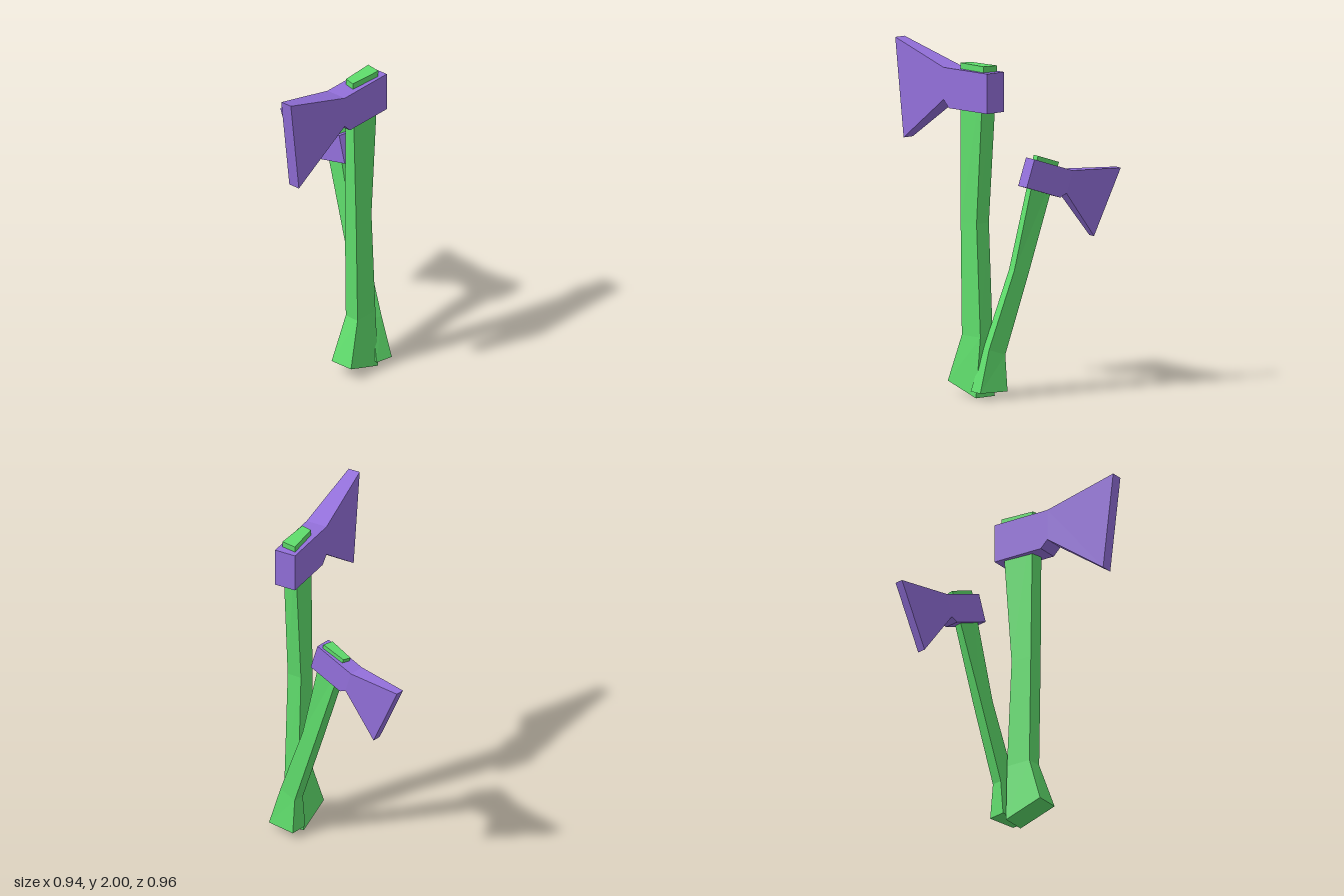
import * as THREE from 'three';

const purple = new THREE.MeshStandardMaterial({ color: 0x9370db });
purple.name = 'purple head';
const green = new THREE.MeshStandardMaterial({ color: 0x5fdd6c });
green.name = 'green handle';

// Flat-shaded loft through four-cornered sections, capped at both ends.
// Corners run counter-clockwise seen from the end of the loft.
function loft(sections) {
  const points = [];
  const quad = (a, b, c, d) => points.push(...a, ...b, ...c, ...a, ...c, ...d);
  for (let s = 0; s < sections.length - 1; s++) {
    const p = sections[s], q = sections[s + 1];
    for (let i = 0; i < 4; i++) {
      const j = (i + 1) % 4;
      quad(p[i], p[j], q[j], q[i]);
    }
  }
  const first = sections[0], last = sections[sections.length - 1];
  quad(first[3], first[2], first[1], first[0]);
  quad(...last);
  const geometry = new THREE.BufferGeometry();
  geometry.setAttribute('position', new THREE.Float32BufferAttribute(points, 3));
  geometry.computeVertexNormals();
  return geometry;
}

// Handle ring: front and back z, y and half width, with a slight twist
function handleRing([zf, yf, wf, zb, yb, wb, twist]) {
  return [
    [-wf, yf, zf - twist], [wf, yf, zf + twist],
    [wb, yb, zb + twist], [-wb, yb, zb - twist],
  ];
}

// Head ring: lower and upper corners sharing one half width
function headRing([zLow, yLow, zHigh, yHigh, w]) {
  return [[-w, yLow, zLow], [w, yLow, zLow], [w, yHigh, zHigh], [-w, yHigh, zHigh]];
}

// One axe standing on its handle, blade towards +z
function createAxe(name) {
  const axe = new THREE.Group();
  axe.name = name;

  // Handle with a flared foot and a gentle bend
  const handle = new THREE.Mesh(loft([
    [0, 0.08, 0.073, -0.235, 0.003, 0.073, 0],
    [-0.09, 0.35, 0.046, -0.245, 0.35, 0.046, 0.002],
    [-0.08, 1.0, 0.045, -0.213, 1.0, 0.045, 0.003],
    [-0.07, 1.91, 0.033, -0.278, 1.91, 0.045, 0.008],
  ].map(handleRing)), green);
  handle.name = 'handle';

  // Head: square block flaring into a wide, thin cutting edge
  const head = new THREE.Mesh(loft([
    [-0.32, 1.645, -0.32, 1.875, 0.065],
    [0, 1.645, 0, 1.875, 0.065],
    [0.045, 1.69, 0.045, 1.875, 0.065],
    [0.41, 1.43, 0.48, 2.0, 0.036],
  ].map(headRing)), purple);
  head.name = 'head';

  axe.add(handle, head);
  return axe;
}

export function createModel() {
  const model = new THREE.Group();
  model.name = 'pairOfAxes';

  const large = createAxe('largeAxe');
  large.position.set(0.365, 0, 0);

  // Smaller copy leaning to the side behind the large one
  const small = createAxe('smallAxe');
  small.scale.setScalar(0.73);
  small.rotation.set(0.314, -1.78, 0, 'YXZ');
  small.position.set(0.305, -0.014, -0.293);

  model.add(large, small);
  return model;
}
